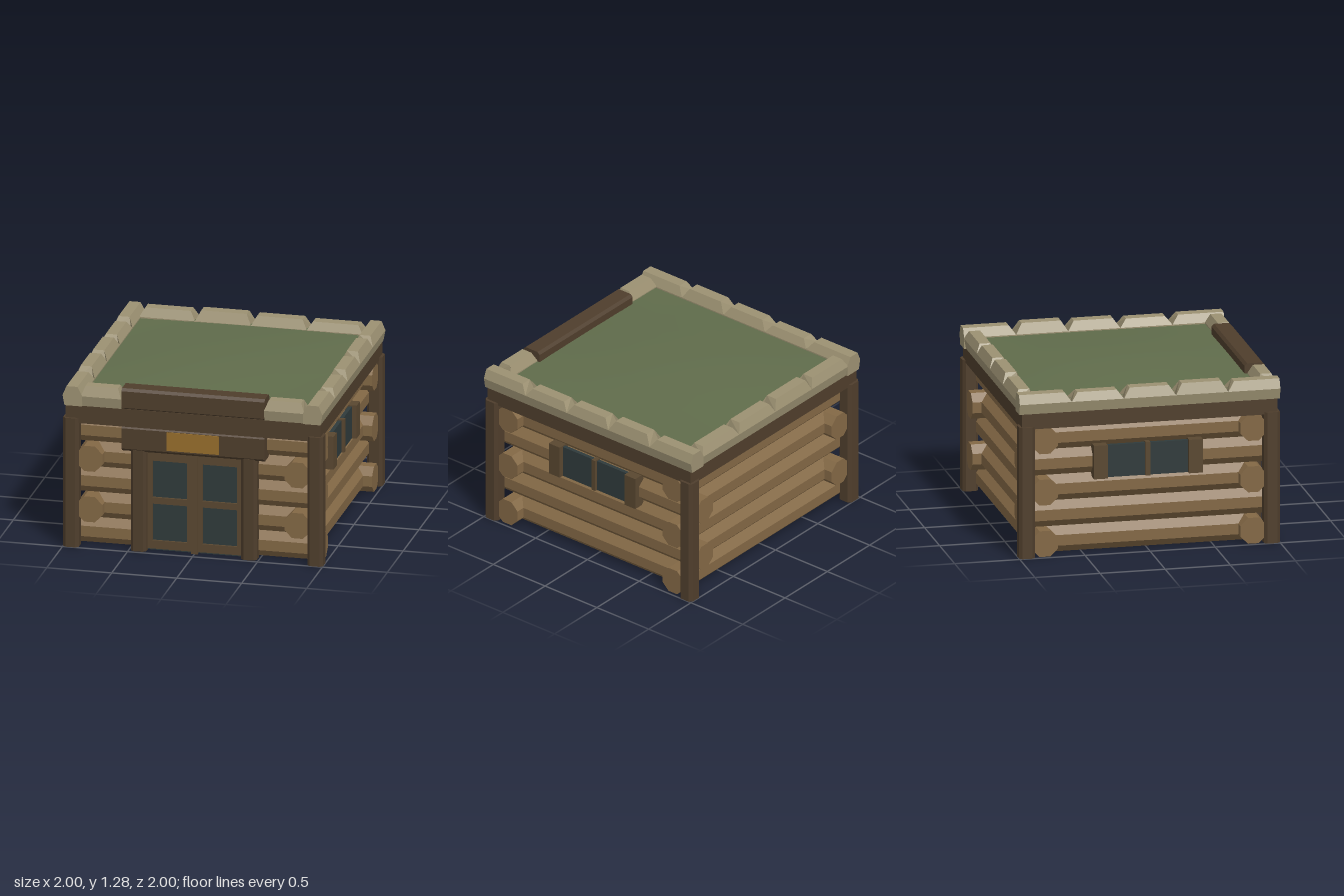
import * as THREE from 'three';

const mat = (name, color) => {
  const m = new THREE.MeshStandardMaterial({ color });
  m.name = name;
  return m;
};

// Separate the faces so every facet is flat
function facet(geo) {
  const g = geo.index ? geo.toNonIndexed() : geo;
  g.computeVertexNormals();
  return g;
}

// Prism with chamfered long edges, centred, running along z
function chamferedPrism(w, h, c, length) {
  const a = w / 2, b = h / 2;
  const s = new THREE.Shape([
    [-a + c, -b], [a - c, -b], [a, -b + c], [a, b - c],
    [a - c, b], [-a + c, b], [-a, b - c], [-a, -b + c],
  ].map(p => new THREE.Vector2(...p)));
  const g = new THREE.ExtrudeGeometry(s, { depth: length, bevelEnabled: false });
  return facet(g.translate(0, 0, -length / 2));
}

// Coping stone along z, outer face at x = 0, top pulled in at each end
function stoneGeometry(length, top, insetBack, insetFront) {
  const s = new THREE.Shape([
    [-0.15, 0], [-0.015, 0], [0, 0.08], [-0.03, top], [-0.115, top], [-0.15, 0.085],
  ].map(p => new THREE.Vector2(...p)));
  const g = new THREE.ExtrudeGeometry(s, { depth: length, bevelEnabled: false });
  g.translate(0, 0, -length / 2);
  const p = g.attributes.position;
  for (let i = 0; i < p.count; i++) {
    if (p.getY(i) < 0.1) continue;
    const z = p.getZ(i);
    p.setZ(i, z < 0 ? z + insetBack : z - insetFront);
  }
  return facet(g);
}

export function createModel() {
  const model = new THREE.Group();
  model.name = 'logCabin';

  const log = mat('logWood', 0x836845);
  const dark = mat('darkTimber', 0x4f3e2c);
  const frame = mat('frameWood', 0x594730);
  const stone = mat('stone', 0x9c9172);
  const turf = mat('turf', 0x606c4b);
  const glass = mat('darkGlass', 0x2f3a3b);
  const gold = mat('signGold', 0x966e2c);

  const add = (name, geo, m, x = 0, y = 0, z = 0, ry = 0) => {
    const mesh = new THREE.Mesh(geo, m);
    mesh.name = name;
    mesh.position.set(x, y, z);
    mesh.rotation.y = ry;
    model.add(mesh);
    return mesh;
  };
  const box = (name, m, w, h, d, x, y, z) => add(name, new THREE.BoxGeometry(w, h, d), m, x, y, z);

  // Dark inner room
  box('innerRoom', glass, 1.44, 1.0, 1.44, 0, 0.502, 0);

  // Octagonal logs, rows alternate which direction sticks out at the corners
  const logAlongZ = half => facet(new THREE.CylinderGeometry(
    0.1 / Math.cos(Math.PI / 8), 0.1 / Math.cos(Math.PI / 8), half * 2, 8, 1, false, Math.PI / 8
  ).rotateX(Math.PI / 2));
  const longLog = logAlongZ(0.97), shortLog = logAlongZ(0.8);
  for (let row = 0; row < 5; row++) {
    const y = 0.1 + row * 0.2, even = row % 2 === 0;
    for (const s of [-1, 1]) {
      add('crossLog', even ? longLog : shortLog, log, 0, y, s * 0.8, Math.PI / 2);
      add('sideLog', even ? shortLog : longLog, log, s * 0.8, y, 0);
    }
  }

  // Corner posts and door jambs
  const post = h => chamferedPrism(0.12, 0.12, 0.022, h).rotateX(-Math.PI / 2).translate(0, h / 2, 0);
  const cornerPost = post(1.02), jamb = post(0.8);
  for (const sx of [-1, 1]) {
    for (const sz of [-1, 1]) add('cornerPost', cornerPost, dark, sx * 0.94, 0, sz * 0.94);
    add('doorJamb', jamb, dark, sx * 0.425, 0, 0.92);
  }

  // Roof frame
  box('roofFrame', dark, 1.96, 0.12, 1.96, 0, 1.06, 0);
  box('frontBeam', dark, 1.96, 0.14, 0.1, 0, 1.05, 0.931);

  // Chamfered beams above the door, with the sign
  add('doorHeader', chamferedPrism(0.155, 0.2, 0.02, 1.1), dark, 0, 0.887, 0.907, Math.PI / 2);
  add('roofBeam', chamferedPrism(0.155, 0.17, 0.02, 1.1), dark, 0, 1.195, 0.907, Math.PI / 2);
  box('signPlate', gold, 0.4, 0.145, 0.009, 0, 0.892, 0.988);

  // Double door with four panes
  box('doorGlass', glass, 0.74, 0.79, 0.008, 0, 0.396, 0.906);
  for (const s of [-1, 1]) {
    const rect = (P, x0, y0, x1, y1) => new P([[x0, y0], [x1, y0], [x1, y1], [x0, y1]]
      .map(p => new THREE.Vector2(...p)));
    const leaf = rect(THREE.Shape, -0.175, 0.015, 0.175, 0.785);
    leaf.holes.push(
      rect(THREE.Path, -0.132, 0.08, 0.132, 0.37),
      rect(THREE.Path, -0.132, 0.42, 0.132, 0.71));
    add('doorLeaf', new THREE.ExtrudeGeometry(leaf, { depth: 0.02, bevelEnabled: false }), frame, s * 0.193, 0, 0.908);
  }
  box('doorMullion', frame, 0.05, 0.79, 0.05, 0, 0.395, 0.915);

  // Side windows with end boards and mullion
  for (const s of [-1, 1]) {
    box('windowGlass', glass, 0.03, 0.25, 0.64, s * 0.893, 0.695, 0);
    box('windowMullion', frame, 0.06, 0.26, 0.035, s * 0.9, 0.7, 0);
    for (const t of [-1, 1]) box('windowBoard', frame, 0.1, 0.26, 0.105, s * 0.895, 0.7, t * 0.365);
  }

  // Gently domed turf roof
  const roof = new THREE.PlaneGeometry(1.74, 1.9, 8, 8).rotateX(-Math.PI / 2);
  const rp = roof.attributes.position;
  for (let i = 0; i < rp.count; i++) {
    const k = Math.cos(rp.getX(i) / 0.87 * Math.PI / 2) * Math.cos(rp.getZ(i) / 0.95 * Math.PI / 2);
    rp.setY(i, 1.195 + 0.05 * k);
  }
  roof.computeVertexNormals();
  add('turfRoof', roof, turf);

  // Stone coping: five on each side, four at the back, one each side of the front beam
  const tops = [0.152, 0.163, 0.155, 0.145, 0.15];
  for (let i = 0; i < 5; i++) {
    const z = -0.8 + i * 0.4, back = i === 0 ? 0 : 0.05, front = i === 4 ? 0 : 0.05;
    add('sideStone', stoneGeometry(0.4, tops[i], back, front), stone, 1, 1.12, z);
    add('sideStone', stoneGeometry(0.4, tops[4 - i], front, back), stone, -1, 1.12, z, Math.PI);
  }
  for (let i = 0; i < 4; i++) {
    add('backStone', stoneGeometry(0.43, tops[i], 0.04, 0.04), stone, -0.645 + i * 0.43, 1.12, -1, Math.PI / 2);
  }
  for (const s of [-1, 1]) {
    add('frontStone', stoneGeometry(0.31, 0.155, 0.03, 0.03), stone, s * 0.705, 1.12, 1, -Math.PI / 2);
  }

  return model;
}
